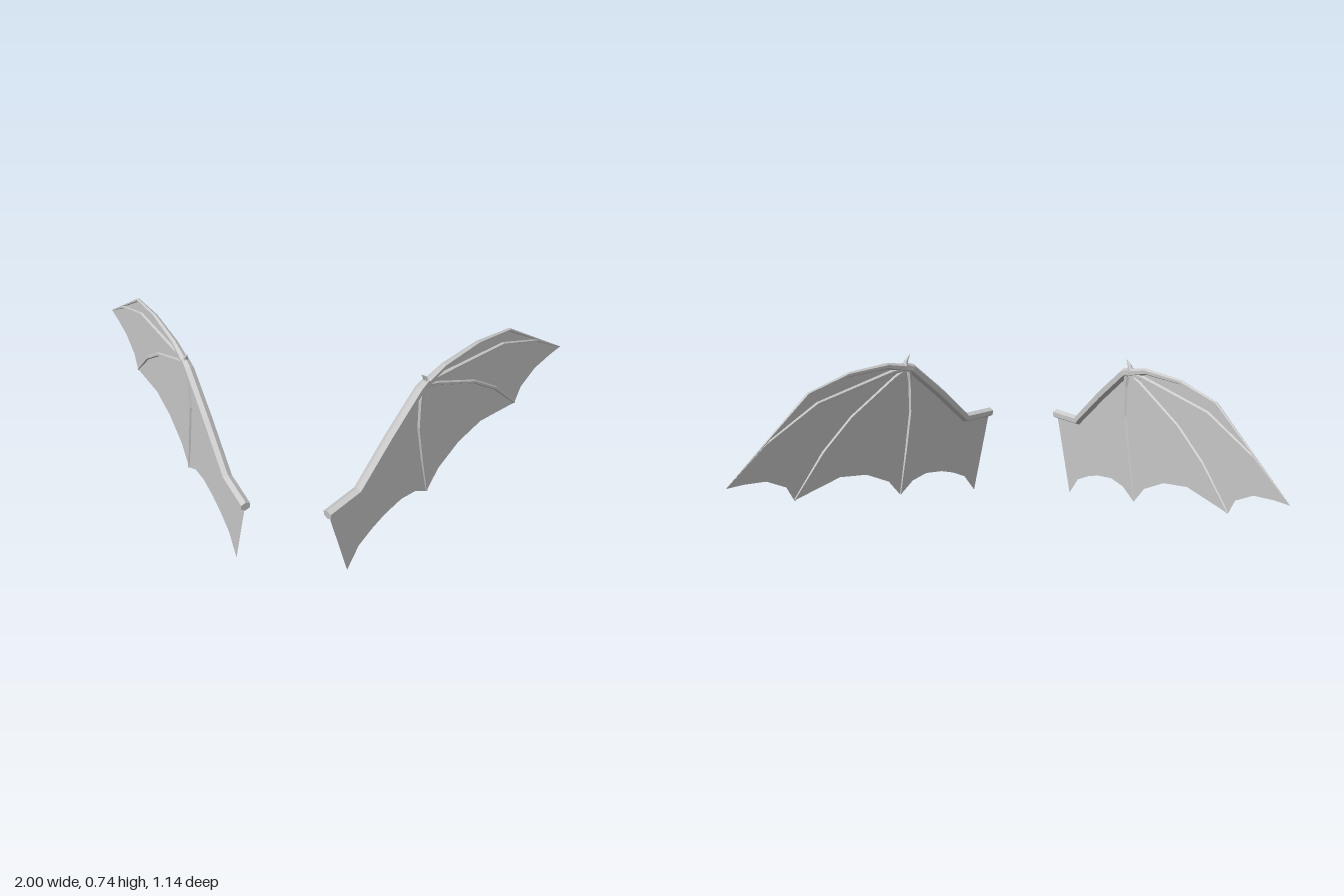
import * as THREE from 'three';

const YAW = 0.9264;   // angle of each wing plane to the x axis
const ROOT_Z = 0.555; // depth of the shoulder end

// Profile points are [depth, height]; convert depth to distance along the wing.
const toWing = ([z, y]) => new THREE.Vector2((ROOT_Z - z) / Math.sin(YAW), y);

// Tapered six-sided bone swept along points [depth, height, radius] in the wing plane.
function boneGeometry(points) {
  const path = points.map(toWing);
  const sides = 6, pos = [], index = [];
  path.forEach((p, i) => {
    const a = path[Math.max(i - 1, 0)], b = path[Math.min(i + 1, path.length - 1)];
    const t = b.clone().sub(a).normalize();
    const r = points[i][2];
    for (let k = 0; k < sides; k++) {
      const ang = (k / sides) * Math.PI * 2;
      const c = Math.cos(ang) * r;
      pos.push(p.x - t.y * c, p.y + t.x * c, Math.sin(ang) * r);
    }
  });
  for (let i = 0; i < path.length - 1; i++) {
    for (let k = 0; k < sides; k++) {
      const a = i * sides + k, b = i * sides + (k + 1) % sides;
      index.push(a, b, a + sides, b, b + sides, a + sides);
    }
  }
  // end caps
  const last = (path.length - 1) * sides;
  for (let k = 1; k < sides - 1; k++) {
    index.push(0, k + 1, k, last, last + k, last + k + 1);
  }
  const g = new THREE.BufferGeometry();
  g.setAttribute('position', new THREE.Float32BufferAttribute(pos, 3));
  g.setIndex(index);
  const flat = g.toNonIndexed();
  flat.computeVertexNormals();
  return flat;
}

// Skin outline: leading edge, then the scalloped trailing edge
const SKIN = [
  [0.555, 0.345], [0.43, 0.37], [0.30, 0.533], [0.178, 0.675], [0.07, 0.718],
  [-0.09, 0.732], [-0.25, 0.706], [-0.57, 0.45],
  [-0.51, 0.441], [-0.43, 0.42], [-0.36, 0.366], [-0.335, 0.30],
  [-0.24, 0.311], [-0.15, 0.321], [-0.04, 0.286], [0.055, 0.215], [0.105, 0.132],
  [0.165, 0.174], [0.23, 0.182], [0.305, 0.16], [0.36, 0.131], [0.42, 0.088], [0.47, 0],
];

const BONES = {
  arm: [[0.56, 0.349, 0.021], [0.43, 0.369, 0.021], [0.30, 0.533, 0.021],
    [0.178, 0.674, 0.02], [0.145, 0.695, 0.016]],
  leadingFinger: [[0.178, 0.674, 0.018], [0.07, 0.717, 0.013], [-0.09, 0.731, 0.01],
    [-0.25, 0.705, 0.007], [-0.57, 0.45, 0.001]],
  secondFinger: [[0.165, 0.682, 0.013], [0.09, 0.684, 0.011], [-0.22, 0.654, 0.009],
    [-0.42, 0.563, 0.006], [-0.57, 0.45, 0.001]],
  thirdFinger: [[0.165, 0.682, 0.013], [0.10, 0.656, 0.009], [-0.09, 0.552, 0.008],
    [-0.21, 0.45, 0.008], [-0.333, 0.302, 0.004]],
  fourthFinger: [[0.165, 0.682, 0.013], [0.17, 0.62, 0.01], [0.168, 0.49, 0.009],
    [0.14, 0.32, 0.008], [0.106, 0.135, 0.004]],
  thumbClaw: [[0.15, 0.69, 0.014], [0.156, 0.712, 0.008], [0.173, 0.735, 0.001]],
};

function createWing(name, yaw, side) {
  const wing = new THREE.Group();
  wing.name = name;
  const skin = new THREE.Mesh(
    new THREE.ShapeGeometry(new THREE.Shape(SKIN.map(toWing))),
    new THREE.MeshStandardMaterial({ color: 0xcccccc, flatShading: true, side: THREE.DoubleSide }));
  skin.name = 'wingMembrane';
  wing.add(skin);

  const boneMaterial = new THREE.MeshStandardMaterial({ color: 0xcccccc, flatShading: true });
  for (const [part, points] of Object.entries(BONES)) {
    const bone = new THREE.Mesh(boneGeometry(points), boneMaterial);
    bone.name = part;
    wing.add(bone);
  }
  wing.rotation.y = yaw;
  wing.position.set(side * 0.155, 0, ROOT_Z);
  return wing;
}

export function createModel() {
  const model = new THREE.Group();
  model.name = 'batWings';
  // each wing is symmetric through its own plane, so turning it mirrors it
  model.add(createWing('leftWing', YAW, 1));
  model.add(createWing('rightWing', Math.PI - YAW, -1));
  return model;
}
